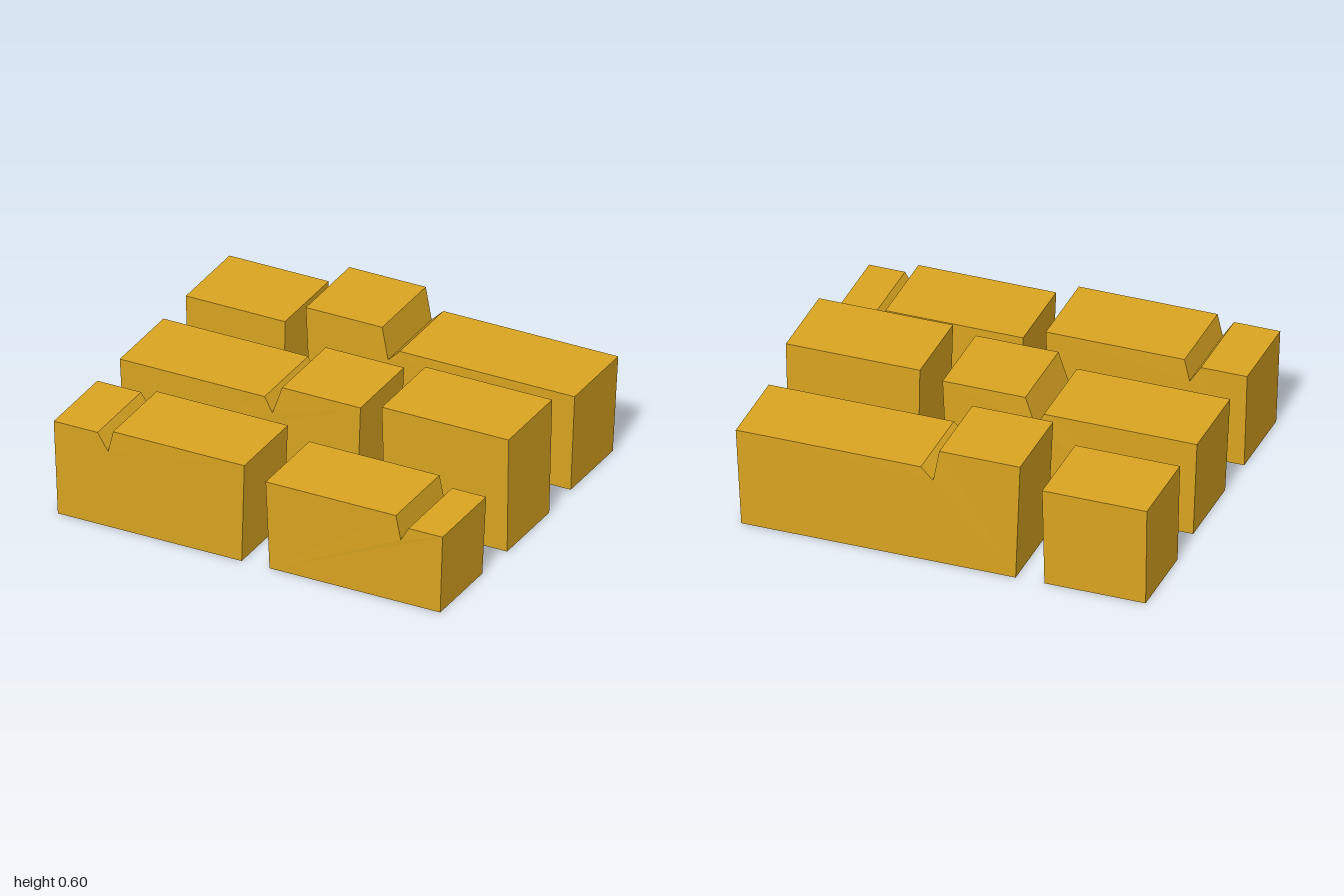
import * as THREE from 'three';

const DEPTH = 0.424; // thickness of every row
const TAPER = 0.965; // base size relative to the top

// Tapered hollow block with an open underside; top is its upper outline, left to right
function block(name, z, top, material) {
  const x0 = top[0][0];
  const x1 = top[top.length - 1][0];
  const mid = (x0 + x1) / 2;
  const outline = [[x0, 0], [x1, 0], ...[...top].reverse()];
  const shape = new THREE.Shape(outline.map(([x, y]) => new THREE.Vector2(x, y)));
  const solid = new THREE.ExtrudeGeometry(shape, { depth: DEPTH, bevelEnabled: false });
  solid.translate(0, 0, -DEPTH / 2);

  // Shrink the base and leave out the bottom face
  const p = solid.attributes.position;
  const kept = [];
  for (let i = 0; i < p.count; i += 3) {
    const corners = [i, i + 1, i + 2].map((k) => new THREE.Vector3().fromBufferAttribute(p, k));
    if (corners.every((c) => c.y < 1e-4)) continue;
    for (const c of corners) {
      const s = c.y < 1e-4 ? TAPER : 1;
      kept.push(mid + (c.x - mid) * s, c.y, c.z * s);
    }
  }
  const geometry = new THREE.BufferGeometry();
  geometry.setAttribute('position', new THREE.Float32BufferAttribute(kept, 3));
  geometry.computeVertexNormals();

  const mesh = new THREE.Mesh(geometry, material);
  mesh.name = name;
  mesh.position.z = z;
  return mesh;
}

export function createModel() {
  const group = new THREE.Group();
  group.name = 'notchedBlocks';
  const gold = new THREE.MeshStandardMaterial({ color: 0xdaa520, flatShading: true, side: THREE.DoubleSide });

  // Three rows of two blocks; four of them step in height at a V notch
  const front = 0.642, middle = 0, back = -0.642;
  const blocks = [
    ['frontRightBlock', front, [[-1, 0.48], [-0.775, 0.48], [-0.72, 0.395], [-0.695, 0.505], [-0.02, 0.505]]],
    ['frontLeftBlock', front, [[0.09, 0.45], [0.76, 0.45], [0.785, 0.33], [0.825, 0.4], [1, 0.4]]],
    ['middleRightBlock', middle, [[-1, 0.485], [-0.255, 0.485], [-0.215, 0.41], [-0.165, 0.555], [0.238, 0.555]]],
    ['middleLeftBlock', middle, [[0.348, 0.588], [1, 0.588]]],
    ['backRightBlock', back, [[-1, 0.495], [-0.49, 0.495]]],
    ['backLeftBlock', back, [[-0.383, 0.597], [0.01, 0.597], [0.04, 0.435], [0.1, 0.495], [1, 0.495]]],
  ];
  for (const [name, z, top] of blocks) group.add(block(name, z, top, gold));
  return group;
}
